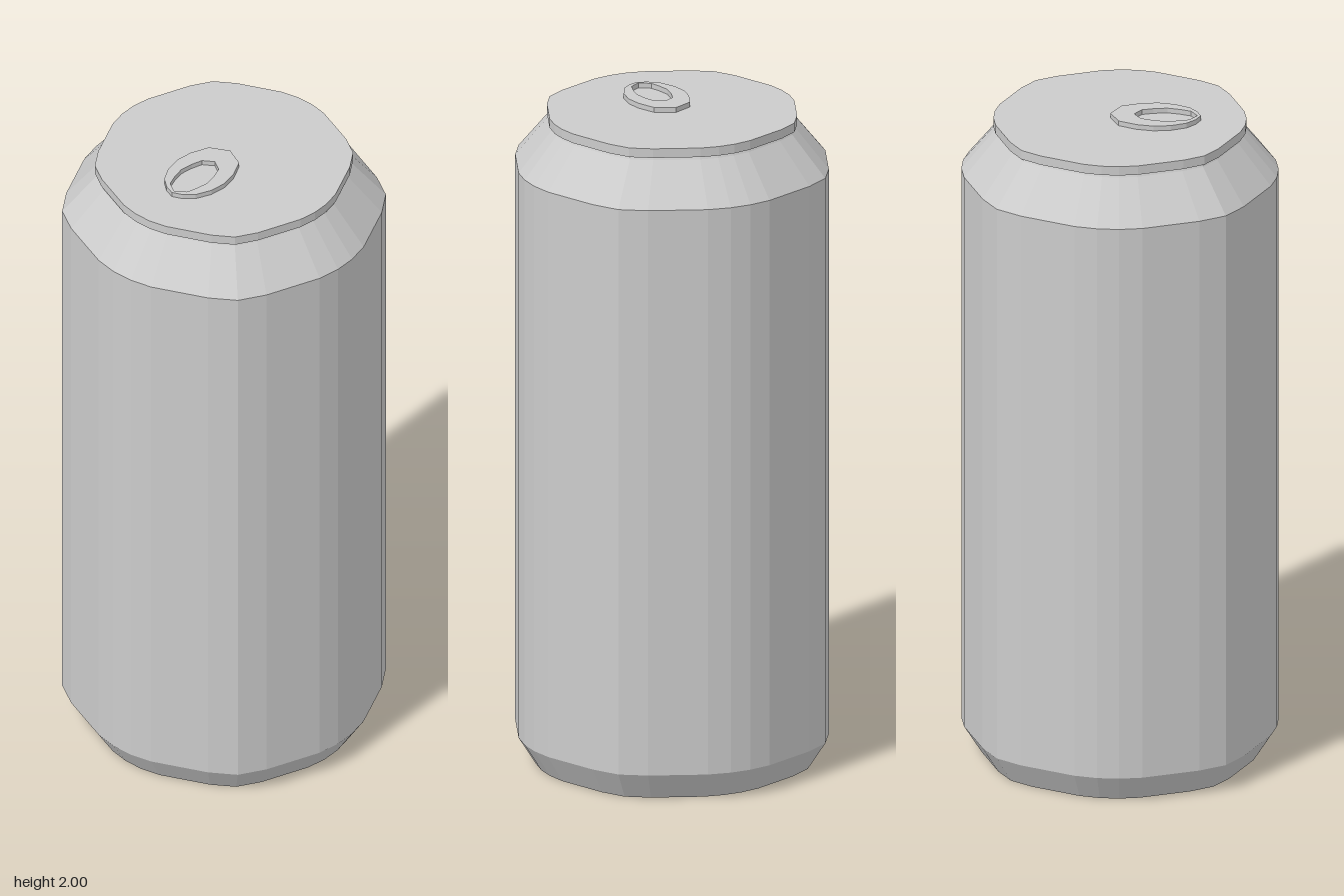
import * as THREE from 'three';

const grey = new THREE.MeshStandardMaterial({ color: 0xcccccc, flatShading: true });

// Faceted, slightly squared outline: one quadrant turned four times
const QUADRANT = [[0.463, 0.032], [0.45, 0.1], [0.383, 0.262], [0.336, 0.336], [0.262, 0.383], [0.1, 0.45], [0.032, 0.463]];
const OUTLINE = [];
for (let q = 0; q < 4; q++) {
  const c = Math.round(Math.cos(q * Math.PI / 2)), s = Math.round(Math.sin(q * Math.PI / 2));
  for (const [x, z] of QUADRANT) OUTLINE.push([x * c - z * s, x * s + z * c]);
}

// Lofts the outline through [scale, y] sections; a scale of 0 closes a cap
function loft(name, sections) {
  const pos = [];
  const n = OUTLINE.length;
  const point = ([k, y], i) => {
    const [x, z] = OUTLINE[i % n];
    return [x * k, y, z * k];
  };
  for (let j = 0; j < sections.length - 1; j++) {
    const low = sections[j], high = sections[j + 1];
    for (let i = 0; i < n; i++) {
      const a = point(low, i), b = point(low, i + 1);
      const c = point(high, i + 1), d = point(high, i);
      if (high[0] > 0) pos.push(...a, ...d, ...c);
      if (low[0] > 0) pos.push(...a, ...c, ...b);
    }
  }
  const geo = new THREE.BufferGeometry();
  geo.setAttribute('position', new THREE.Float32BufferAttribute(pos, 3));
  geo.computeVertexNormals();
  const mesh = new THREE.Mesh(geo, grey);
  mesh.name = name;
  return mesh;
}

// Mirrors a half outline (starting and ending on the x axis) to a closed loop
function mirrored(half) {
  const other = half.slice(1, -1).reverse().map(([x, y]) => [x, -y]);
  return [...half, ...other].map(([x, y]) => new THREE.Vector2(x, y));
}

export function createModel() {
  const group = new THREE.Group();
  group.name = 'drinkCan';

  // Can wall and tapered ends
  group.add(
    loft('base', [[0, 0], [0.885, 0], [1, 0.085]]),
    loft('body', [[1, 0.085], [1, 1.825]]),
    loft('shoulder', [[1, 1.825], [0.785, 1.948], [0.775, 1.957]]),
    loft('lid', [[0, 1.957], [0.798, 1.957], [0.798, 1.985], [0, 1.985]])
  );

  // Pull tab with its finger hole
  const shape = new THREE.Shape(mirrored([[0.028, 0], [0, 0.058], [-0.055, 0.082], [-0.105, 0.09],
    [-0.155, 0.082], [-0.2, 0.06], [-0.225, 0.03], [-0.237, 0]]));
  shape.holes.push(new THREE.Path(mirrored([[-0.042, 0], [-0.062, 0.032], [-0.095, 0.043], [-0.135, 0.05],
    [-0.172, 0.043], [-0.206, 0.032], [-0.227, 0]])));
  const tab = new THREE.Mesh(new THREE.ExtrudeGeometry(shape, { depth: 0.017, bevelEnabled: false }), grey);
  tab.rotation.x = -Math.PI / 2;
  tab.position.y = 1.983;
  tab.name = 'pullTab';
  group.add(tab);

  return group;
}
